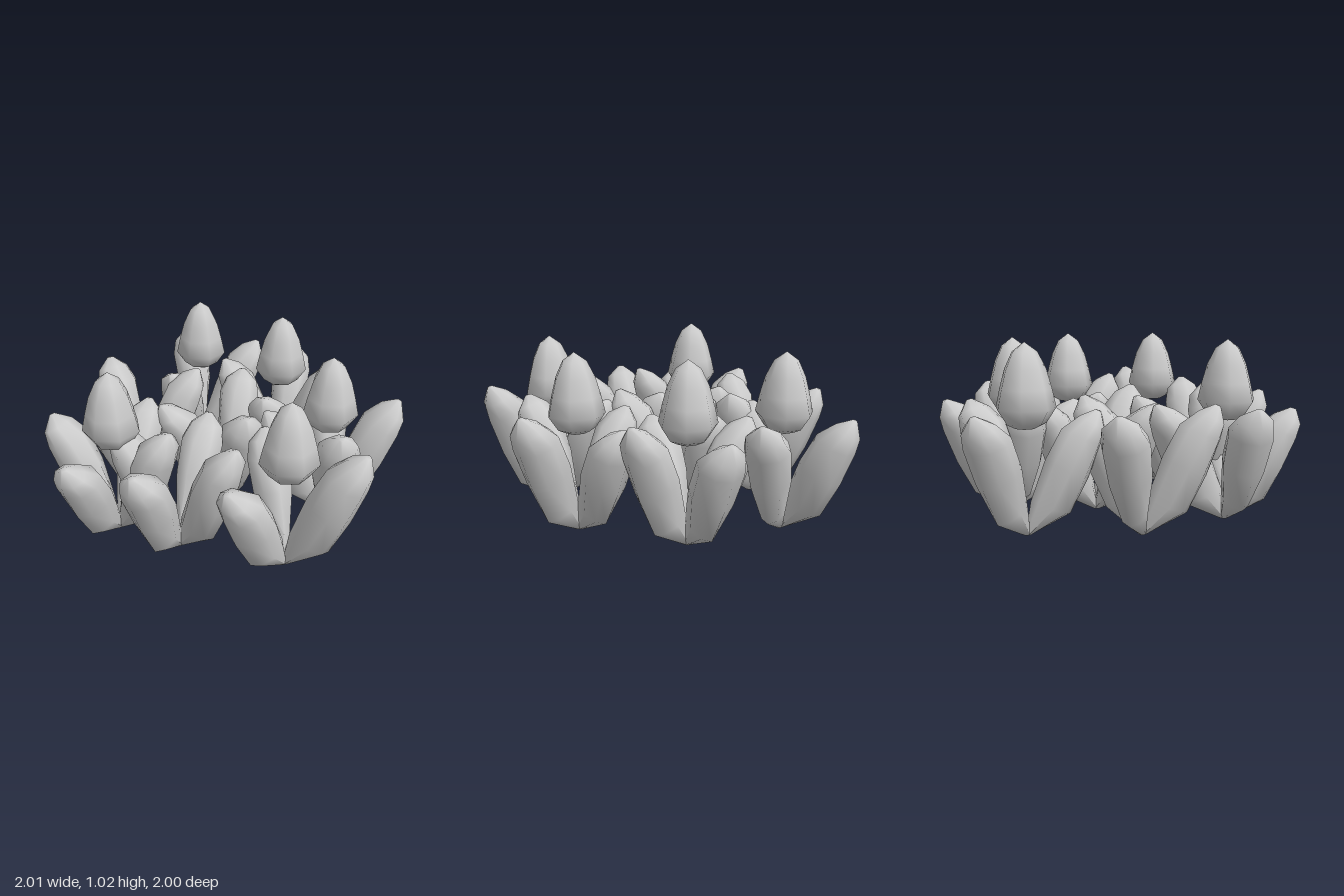
import * as THREE from 'three';
import { toCreasedNormals } from 'three/addons/utils/BufferGeometryUtils.js';

const material = new THREE.MeshStandardMaterial({ color: 0xcccccc, side: THREE.DoubleSide });

// Leaf cross-sections: inner radius, inner y, outer radius, outer y, half width
const SECTIONS = [
  [-0.01, 0.01, 0.02, 0.0, 0.02],
  [0.02, 0.19, 0.235, 0.11, 0.065],
  [0.10, 0.42, 0.335, 0.31, 0.115],
  [0.19, 0.59, 0.405, 0.50, 0.128],
  [0.29, 0.66, 0.425, 0.585, 0.1],
  [0.375, 0.692, 0.405, 0.68, 0.02],
];
const SIDES = 8;

// Thick pod-shaped leaf growing outwards along +x
function leafGeometry() {
  const pos = [], index = [];
  for (const [ri, yi, ro, yo, w] of SECTIONS) {
    for (let k = 0; k < SIDES; k++) {
      const a = (k / SIDES) * Math.PI * 2, c = (1 + Math.cos(a)) / 2;
      pos.push(ri + (ro - ri) * c, yi + (yo - yi) * c, w * Math.sin(a));
    }
  }
  for (let s = 0; s < SECTIONS.length - 1; s++) {
    for (let k = 0; k < SIDES; k++) {
      const a = s * SIDES + k, b = s * SIDES + (k + 1) % SIDES;
      index.push(a, a + SIDES, b + SIDES, a, b + SIDES, b);
    }
  }
  // Tip and base caps
  const top = (SECTIONS.length - 1) * SIDES;
  for (let k = 1; k < SIDES - 1; k++) {
    index.push(top, top + k + 1, top + k, 0, k, k + 1);
  }
  const g = new THREE.BufferGeometry();
  g.setAttribute('position', new THREE.Float32BufferAttribute(pos, 3));
  g.setIndex(index);
  return toCreasedNormals(g, 1.25);
}

// Seven-sided closed flower head, rounded underneath
function headGeometry() {
  const profile = [[0, 0.57], [0.06, 0.575], [0.11, 0.6], [0.163, 0.68], [0.14, 0.78], [0.112, 0.88], [0.068, 0.97], [0, 1.02]];
  const g = new THREE.LatheGeometry(profile.map(([r, y]) => new THREE.Vector2(r, y)), 7);
  return toCreasedNormals(g, 1.25);
}

// Each plant: position, whether it flowers, and its leaves (dx, dz, height)
const PLANTS = [
  { at: [-0.49, -0.56], flower: true, leaves: [[-0.29, -0.30, 0.68], [0.31, -0.30, 0.7], [0, 0.42, 0.66]] },
  { at: [0.09, -0.57], flower: true, leaves: [[-0.07, -0.43, 0.67], [0.39, -0.14, 0.73], [0.07, 0.42, 0.64], [-0.42, 0.05, 0.67]] },
  { at: [0.58, -0.16], flower: true, leaves: [[-0.16, -0.42, 0.67], [0.37, -0.23, 0.74], [0.21, 0.36, 0.73], [-0.37, 0.15, 0.66]] },
  { at: [0.58, 0.42], flower: true, leaves: [[0.42, -0.11, 0.76], [-0.19, 0.39, 0.64], [-0.3, -0.31, 0.66]] },
  { at: [-0.42, 0.57], flower: true, leaves: [[-0.43, 0.03, 0.68], [-0.03, 0.43, 0.63], [-0.02, -0.45, 0.67], [0.41, 0, 0.74]] },
  { at: [-0.02, 0.55], flower: false, leaves: [[0.4, 0, 0.74], [-0.02, 0.43, 0.69], [-0.02, -0.44, 0.67], [-0.41, 0, 0.67]] },
  { at: [-0.61, 0.04], flower: false, leaves: [[-0.38, -0.23, 0.69], [0.31, -0.29, 0.72], [-0.04, 0.43, 0.69]] },
  { at: [-0.06, -0.1], flower: false, leaves: [[-0.07, -0.39, 0.67], [0.31, 0.31, 0.71], [-0.3, 0.32, 0.66]] },
];

export function createModel() {
  const model = new THREE.Group();
  model.name = 'flowerPatch';
  const leafGeo = leafGeometry(), headGeo = headGeometry();

  for (const { at, flower, leaves } of PLANTS) {
    const plant = new THREE.Group();
    plant.name = flower ? 'floweringPlant' : 'leafyPlant';
    plant.position.set(at[0], 0, at[1]);

    for (const [dx, dz, height] of leaves) {
      const leaf = new THREE.Mesh(leafGeo, material);
      leaf.name = 'leaf';
      leaf.scale.set(Math.hypot(dx, dz) / 0.425, height / 0.69, 1);
      leaf.rotation.y = Math.atan2(-dz, dx);
      plant.add(leaf);
    }
    if (flower) {
      const head = new THREE.Mesh(headGeo, material);
      head.name = 'flowerHead';
      plant.add(head);
    }
    model.add(plant);
  }
  return model;
}
